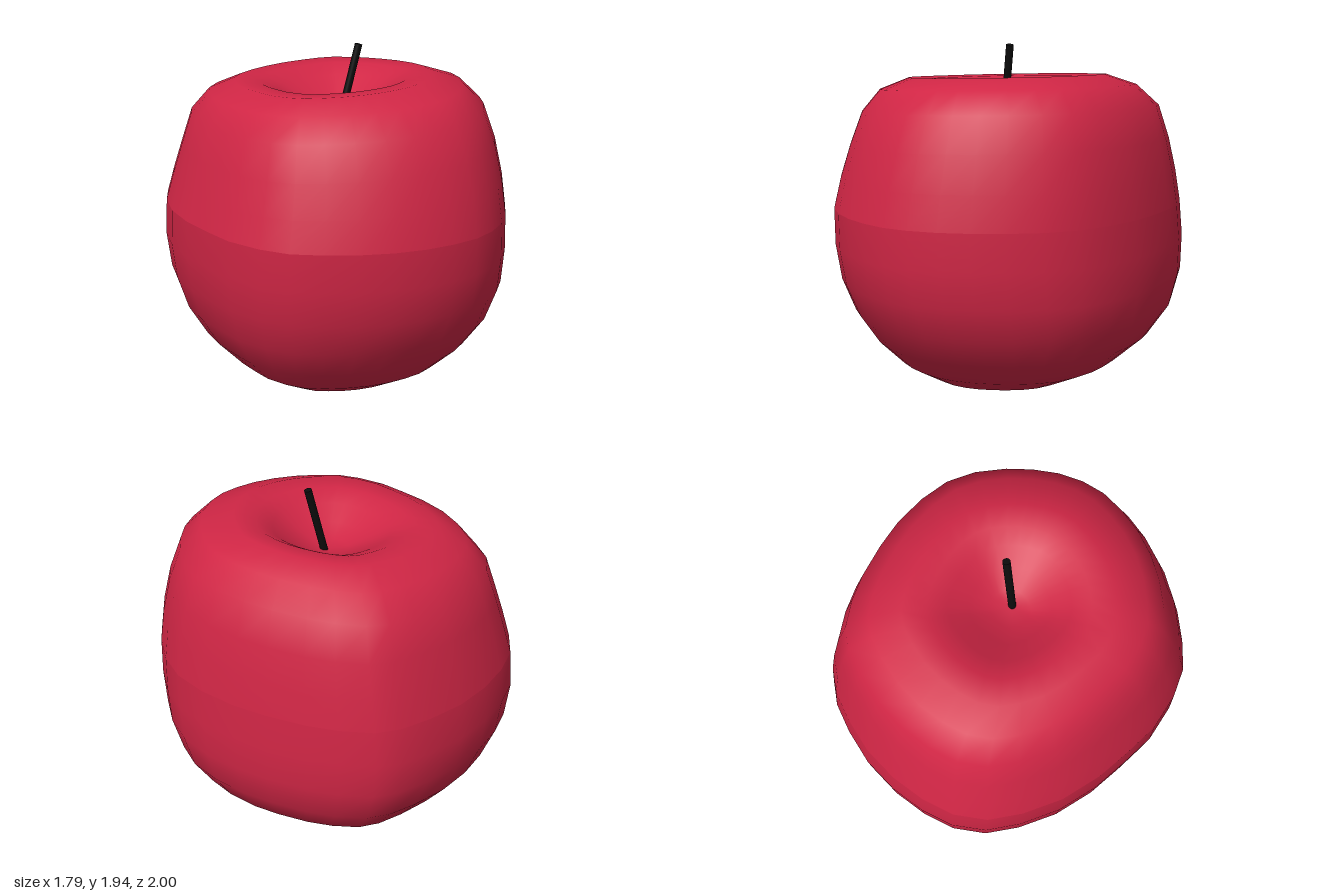
import * as THREE from 'three';
import { mergeVertices } from 'three/addons/utils/BufferGeometryUtils.js';

// Plan outline of the fruit (x, z), counter-clockwise seen from above
const OUTLINE = [
  [-0.01, -1], [-0.21, -0.985], [-0.39, -0.94], [-0.55, -0.84], [-0.67, -0.69], [-0.78, -0.49],
  [-0.85, -0.26], [-0.88, -0.05], [-0.9, 0.15], [-0.87, 0.36], [-0.81, 0.52], [-0.7, 0.65],
  [-0.57, 0.77], [-0.42, 0.87], [-0.26, 0.94], [-0.1, 0.98], [0.06, 0.995], [0.21, 0.97],
  [0.36, 0.91], [0.5, 0.82], [0.63, 0.71], [0.76, 0.56], [0.85, 0.39], [0.89, 0.19],
  [0.895, -0.03], [0.87, -0.22], [0.82, -0.44], [0.76, -0.6], [0.67, -0.76], [0.56, -0.85],
  [0.4, -0.92], [0.2, -0.98],
];

// Rows: y, x min, x max, z min, z max, share of the sideways tilt
const LOWER = [
  [0, -0.02, -0.02, 0.02, 0.02, 0],
  [0.03, -0.24, 0.2, -0.21, 0.24, 0],
  [0.09, -0.43, 0.41, -0.41, 0.45, 0],
  [0.18, -0.6, 0.61, -0.61, 0.62, 0],
  [0.315, -0.73, 0.76, -0.78, 0.77, 0],
  [0.475, -0.82, 0.86, -0.91, 0.89, 0],
  [0.655, -0.875, 0.895, -0.98, 0.97, 0],
  [0.85, -0.9, 0.895, -1, 1, 0],
  [1.05, -0.9, 0.885, -0.98, 1, 0],
];
const UPPER = [
  LOWER[LOWER.length - 1],
  [1.22, -0.86, 0.865, -0.94, 0.965, 0.4],
  [1.4, -0.81, 0.83, -0.89, 0.91, 0.8],
  [1.58, -0.755, 0.775, -0.83, 0.835, 1],
  [1.698, -0.665, 0.66, -0.71, 0.72, 1],
  [1.758, -0.53, 0.5, -0.55, 0.54, 1],
  // dimple around the stem
  [1.75, -0.4, 0.39, -0.42, 0.41, 1],
  [1.7, -0.3, 0.3, -0.31, 0.32, 1],
  [1.635, -0.2, 0.21, -0.2, 0.22, 1],
  [1.585, -0.1, 0.11, -0.09, 0.11, 1],
  [1.565, 0.01, 0.01, 0.02, 0.02, 1],
];

// Skins a stack of scaled outlines
function loft(rows) {
  const n = OUTLINE.length, positions = [], index = [];
  rows.forEach(([y, x0, x1, z0, z1, tilt], r) => {
    OUTLINE.forEach(([ox, oz], i) => {
      const x = (x0 + x1) / 2 + (ox / 0.9) * (x1 - x0) / 2;
      const z = (z0 + z1) / 2 + oz * (z1 - z0) / 2;
      positions.push(x, y + tilt * (0.045 * x + 0.025 * z), z);
      if (r === 0) return;
      const j = (i + 1) % n, a = (r - 1) * n, b = r * n;
      index.push(a + i, a + j, b + j, a + i, b + j, b + i);
    });
  });
  const geometry = new THREE.BufferGeometry();
  geometry.setAttribute('position', new THREE.Float32BufferAttribute(positions, 3));
  geometry.setIndex(index);
  const welded = mergeVertices(geometry);
  welded.computeVertexNormals();
  return welded;
}

export function createModel() {
  const model = new THREE.Group();
  model.name = 'apple';
  const skin = new THREE.MeshStandardMaterial({ color: 0xd02645 });
  const bark = new THREE.MeshStandardMaterial({ color: 0x0c0c0c });

  const add = (name, geometry, material) => {
    const mesh = new THREE.Mesh(geometry, material);
    mesh.name = name;
    model.add(mesh);
    return mesh;
  };

  // Two halves with a visible shading seam where they meet
  add('lowerHalf', loft(LOWER), skin);
  add('upperHalf', loft(UPPER), skin);

  // Leaning stem
  const base = new THREE.Vector3(0.015, 1.56, 0.033);
  const tip = new THREE.Vector3(0.095, 1.933, 0.08);
  const along = tip.clone().sub(base);
  const stem = add('stem', new THREE.CylinderGeometry(0.021, 0.021, along.length(), 12), bark);
  stem.position.copy(base).add(tip).multiplyScalar(0.5);
  stem.quaternion.setFromUnitVectors(new THREE.Vector3(0, 1, 0), along.normalize());

  return model;
}
